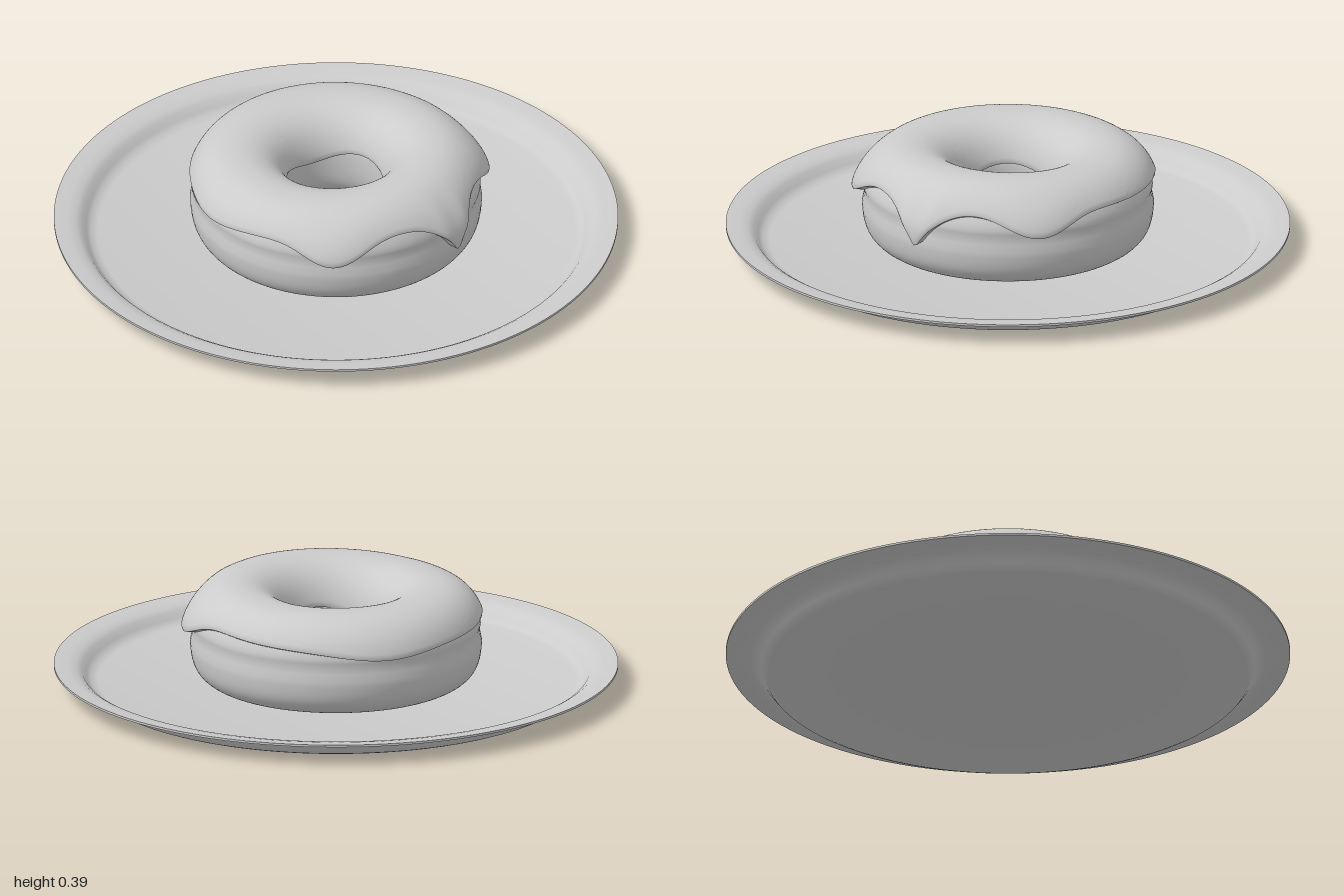
import * as THREE from 'three';
import { toCreasedNormals } from 'three/addons/utils/BufferGeometryUtils.js';

const RING = 0.35;      // radius of the ring's centre line
const MID = 0.19;       // height of the ring's centre line
const grey = (side = THREE.FrontSide) => new THREE.MeshStandardMaterial({ color: 0xcccccc, side });
const power = (v, e) => Math.sign(v) * Math.abs(v) ** e;

// Point of the ring's rounded cross-section: fuller below, rounder above
function section(a, halfWidth, halfHeight) {
  const e = THREE.MathUtils.lerp(0.67, 0.9, THREE.MathUtils.smoothstep(Math.sin(a), -0.5, 0.5));
  return new THREE.Vector2(RING + halfWidth * power(Math.cos(a), e), MID + halfHeight * power(Math.sin(a), e));
}

function makePlate() {
  const profile = [
    [0, 0], [0.845, 0], [0.86, 0.006], [0.875, 0.025], [0.89, 0.045], [0.91, 0.056], [0.94, 0.063], [1, 0.072],
    [1, 0.08], [0.95, 0.075], [0.92, 0.069], [0.9, 0.057], [0.885, 0.038], [0.87, 0.024], [0.845, 0.018], [0, 0.018],
  ].map(([r, y]) => new THREE.Vector2(r, y));
  const plate = new THREE.Mesh(toCreasedNormals(new THREE.LatheGeometry(profile, 128), 0.75), grey());
  plate.name = 'plate';
  return plate;
}

function makeDough() {
  const profile = [];
  for (let i = 0; i <= 72; i++) {
    const a = -Math.PI / 2 + (i / 72) * Math.PI * 2;
    const p = section(a, 0.168, 0.172);
    // shallow waist around the outside
    if (Math.cos(a) > 0) p.x -= 0.01 * Math.exp(-(((p.y - 0.205) / 0.022) ** 2));
    profile.push(p);
  }
  const dough = new THREE.Mesh(new THREE.LatheGeometry(profile, 96), grey());
  dough.name = 'dough';
  return dough;
}

// Drips around the rim: angle in degrees, length, width in degrees, sharpness
const DRIPS = [[7, 0.14, 9, 1.3], [60, 0.08, 14, 2], [117, 0.02, 18, 2], [216, 0.028, 22, 2], [318, 0.075, 15, 2]];

function dripLength(theta) {
  const deg = THREE.MathUtils.radToDeg(theta);
  return DRIPS.reduce((sum, [at, length, width, sharp]) => {
    const d = Math.abs(((deg - at + 540) % 360) - 180);
    return sum + length * Math.exp(-((d / width) ** sharp));
  }, 0);
}

function makeIcing() {
  const around = 240, across = 44, positions = [], index = [];
  for (let i = 0; i < around; i++) {
    const theta = (i / around) * Math.PI * 2;
    const drip = dripLength(theta);
    const edgeY = 0.285 + 0.02 * Math.cos(theta) - drip;
    // section angles at the outer and the inner edge
    const start = Math.asin(power((edgeY - MID) / 0.188, 1 / 0.85));
    const end = Math.PI - 0.12 - 0.08 * Math.sin(3 * theta);
    for (let j = 0; j <= across; j++) {
      // the first and last rows tuck under to form a lip
      const t = THREE.MathUtils.clamp((j - 2) / (across - 4), 0, 1);
      const a = THREE.MathUtils.lerp(start + 0.05, end - 0.05, t)
        - (j < 2 ? 0.05 : 0) + (j > across - 2 ? 0.05 : 0);
      const row = Math.min(j, across - j);
      const thick = row === 0 ? -0.012 : row === 1 ? 0.009 : 0.014;
      const bulge = row === 0 ? 0 : Math.min(0.3 * drip, 0.024) * (1 - THREE.MathUtils.smoothstep(t, 0, 0.4));
      const p = section(a, 0.168 + thick + bulge, 0.174 + thick);
      const lift = 0.015 * Math.max(0, Math.cos(theta)) * Math.max(0, Math.sin(a)) ** 2;
      positions.push(p.x * Math.cos(theta), p.y + lift, p.x * Math.sin(theta));
      if (j < across) {
        const here = i * (across + 1) + j, next = ((i + 1) % around) * (across + 1) + j;
        index.push(here, here + 1, next, next, here + 1, next + 1);
      }
    }
  }
  const geometry = new THREE.BufferGeometry();
  geometry.setAttribute('position', new THREE.Float32BufferAttribute(positions, 3));
  geometry.setIndex(index);
  const icing = new THREE.Mesh(toCreasedNormals(geometry, 0.8), grey(THREE.DoubleSide));
  icing.name = 'icing';
  return icing;
}

export function createModel() {
  const model = new THREE.Group();
  model.name = 'doughnutOnPlate';
  model.add(makePlate(), makeDough(), makeIcing());
  return model;
}
